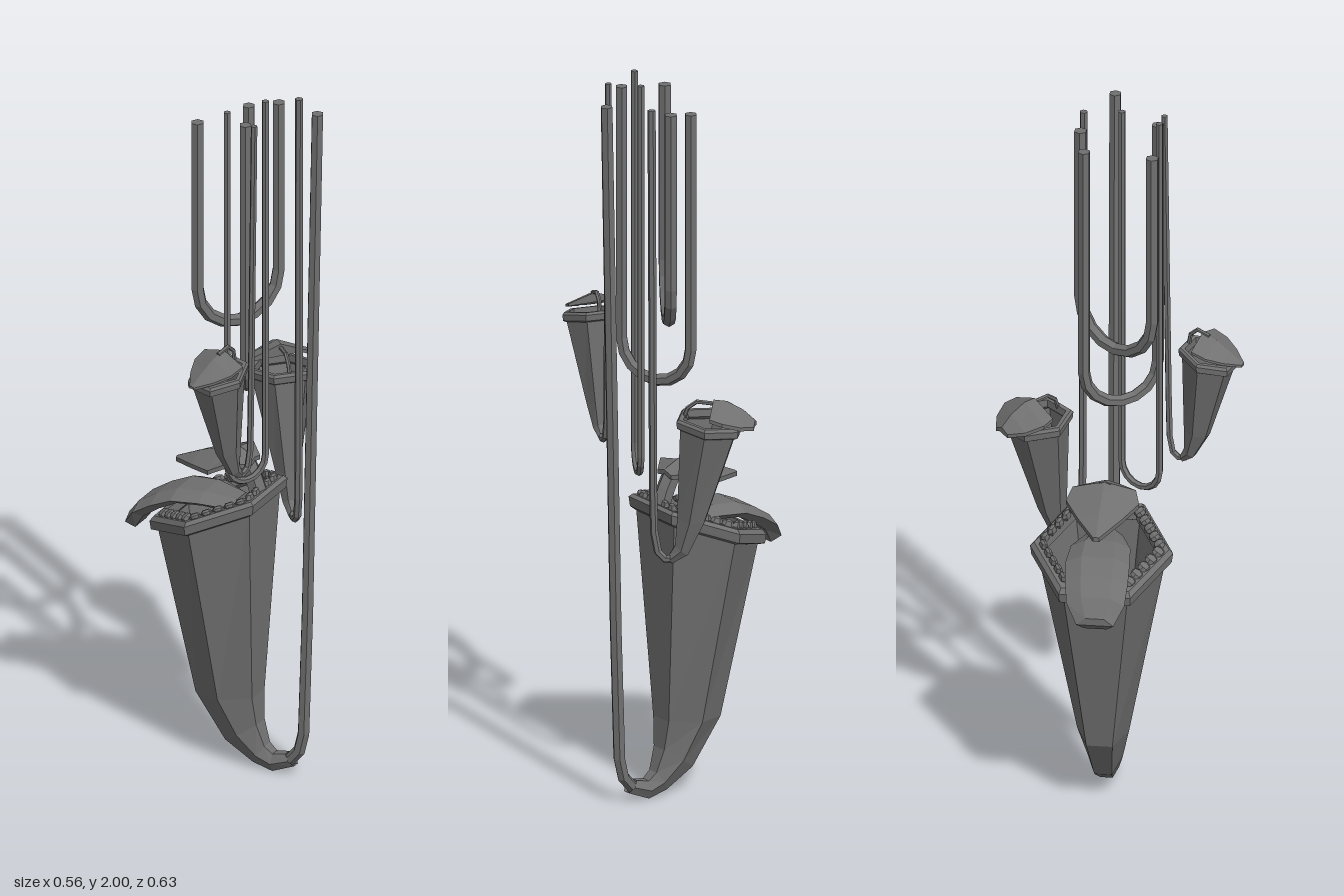
import * as THREE from 'three';

const material = new THREE.MeshStandardMaterial({ color: 0x707070, flatShading: true, side: THREE.DoubleSide });
const V = (x, y, z) => new THREE.Vector3(x, y, z);

// Skin a series of closed rings, optionally capping both ends
function loft(name, rings, caps = false) {
  const pos = [];
  const tri = (a, b, c) => [a, b, c].forEach(p => pos.push(p.x, p.y, p.z));
  for (let i = 0; i < rings.length - 1; i++) {
    const a = rings[i], b = rings[i + 1], n = a.length;
    for (let j = 0; j < n; j++) {
      const k = (j + 1) % n;
      tri(a[j], a[k], b[k]);
      tri(a[j], b[k], b[j]);
    }
  }
  if (caps) {
    const first = rings[0], last = rings[rings.length - 1];
    for (let j = 1; j < first.length - 1; j++) {
      tri(first[0], first[j + 1], first[j]);
      tri(last[0], last[j], last[j + 1]);
    }
  }
  const geo = new THREE.BufferGeometry();
  geo.setAttribute('position', new THREE.Float32BufferAttribute(pos, 3));
  geo.computeVertexNormals();
  const mesh = new THREE.Mesh(geo, material);
  mesh.name = name;
  return mesh;
}

// Six-sided ring, flat sides towards +x and -x, tilted by t in the x-y plane
function hexRing([u, y, ru, rw, t]) {
  return Array.from({ length: 6 }, (_, k) => {
    const a = Math.PI / 6 + k * Math.PI / 3;
    const c = ru * Math.cos(a) / Math.cos(Math.PI / 6);
    return V(u + c * Math.cos(t), y + c * Math.sin(t), rw * Math.sin(a));
  });
}

// Six-sided tube along [x, y] points
function tube(name, pts, r) {
  const rings = pts.map(([x, y], i) => {
    const p = pts[Math.max(i - 1, 0)], q = pts[Math.min(i + 1, pts.length - 1)];
    const d = new THREE.Vector2(q[0] - p[0], q[1] - p[1]).normalize();
    return Array.from({ length: 6 }, (_, k) => {
      const a = k * Math.PI / 3, c = r * Math.cos(a);
      return V(x - d.y * c, y + d.x * c, r * Math.sin(a));
    });
  });
  return loft(name, rings, true);
}

// Thin domed leaf from rows of [x, y, halfWidth, edgeDrop]
function lid(rows, thick) {
  const rings = rows.map(([u, y, w, drop]) => [
    V(u, y - drop, -w), V(u, y, 0), V(u, y - drop, w),
    V(u, y - drop - thick, w), V(u, y - thick, 0), V(u, y - drop - thick, -w),
  ]);
  return loft('lid', rings, true);
}

// Pitcher: body, rolled rim, stem, lid and lid stalk; the stem lies towards local +x
function pitcher(name, o) {
  const g = new THREE.Group();
  g.name = name;
  const [u, y, ru, rw, t] = o.rings[0];
  const ring = (dy, grow) => hexRing([u, y + dy, ru + grow, rw + grow, t]);
  const h = o.rimHeight, w = o.rimWidth;
  g.add(loft('body', o.rings.map(hexRing)));
  g.add(loft('rim', [ring(-h, 0), ring(-h * 0.7, w * 0.8), ring(h * 0.5, w), ring(h, w * 0.4),
    ring(h, -w * 0.8), ring(-h * 0.3, -w), ring(-h, 0)]));
  g.add(tube('stem', o.stem, o.stemRadius));
  g.add(lid(o.lid, o.lidThick));
  g.add(tube('lidStalk', o.stalk, o.stalkRadius));
  g.position.set(o.at[0], 0, o.at[1]);
  g.rotation.y = o.turn;
  return g;
}

// Hanging vine loop between two [x, topY, z] ends
function vineLoop(a, b, bottom, r) {
  const dx = b[0] - a[0], dz = b[2] - a[2], R = Math.hypot(dx, dz) / 2;
  const pts = [[-R, a[1]]];
  for (let i = 0; i <= 8; i++) {
    const s = Math.PI * i / 8;
    pts.push([-R * Math.cos(s), bottom + r + R * (1 - Math.sin(s))]);
  }
  pts.push([R, b[1]]);
  const m = tube('vineLoop', pts, r);
  m.position.set((a[0] + b[0]) / 2, 0, (a[2] + b[2]) / 2);
  m.rotation.y = Math.atan2(-dz, dx);
  return m;
}

export function createModel() {
  const root = new THREE.Group();
  root.name = 'hangingPitcherPlant';

  // Large pitcher
  const rim = [0, 0.752, 0.15, 0.174, 0.36];
  const big = pitcher('largePitcher', {
    at: [-0.03, -0.024], turn: 0.2,
    rings: [rim, [0.035, 0.205, 0.086, 0.07, 0.1], [0.08, 0.1, 0.057, 0.047, 0.6],
      [0.13, 0.044, 0.032, 0.032, 1.0], [0.17, 0.027, 0.025, 0.027, 1.57], [0.222, 0.045, 0.02, 0.021, 2.3]],
    rimHeight: 0.022, rimWidth: 0.018,
    stem: [[0.17, 0.025], [0.215, 0.04], [0.245, 0.075], [0.258, 0.13], [0.27, 0.5], [0.3, 1.98]],
    stemRadius: 0.017,
    lid: [[0.11, 0.915, 0.03, 0.008], [0.06, 0.935, 0.085, 0.02], [0.02, 0.925, 0.098, 0.03],
      [-0.05, 0.9, 0.06, 0.018], [-0.125, 0.865, 0.008, 0.002]],
    lidThick: 0.012,
    stalk: [[0.13, 0.79], [0.105, 0.86], [0.085, 0.9], [0.05, 0.915]], stalkRadius: 0.026,
  });

  // Broad lip curling out over the front of the rim: [x, y, halfWidth]
  const lipRows = [[0.07, 0.79, 0.05], [-0.02, 0.8, 0.08], [-0.1, 0.792, 0.086],
    [-0.16, 0.765, 0.084], [-0.215, 0.73, 0.078], [-0.25, 0.685, 0.05]];
  big.add(loft('curledLip', lipRows.map(([u, y, w]) => {
    const out = Math.max(0, -u - 0.08), lean = out * 0.12, side = out * 0.07;
    return [V(u, y - 0.02, side - w), V(u, y, side - w * 0.5), V(u, y, side + w * 0.5), V(u, y - 0.02, side + w),
      V(u + lean, y - 0.04, side + w * 0.6), V(u + lean, y - 0.04, side - w * 0.6)];
  }), true));

  // Beads along the rim, leaving out the side under the lip
  const beadGeo = new THREE.SphereGeometry(1, 6, 4);
  const edge = hexRing([rim[0], rim[1] + 0.025, rim[2] - 0.012, rim[3] - 0.012, rim[4]]);
  for (let k = 0; k < 6; k++) {
    if (k === 2) continue;
    const a = edge[k], b = edge[(k + 1) % 6];
    const dir = b.clone().sub(a).normalize();
    for (let i = 0; i < 5; i++) {
      const bead = new THREE.Mesh(beadGeo, material);
      bead.name = 'rimBead';
      bead.position.lerpVectors(a, b, (i + 0.5) / 5);
      bead.quaternion.setFromUnitVectors(V(1, 0, 0), dir);
      bead.scale.set(0.018, 0.017, 0.011);
      big.add(bead);
    }
  }
  root.add(big);

  // Small pitcher at the back
  root.add(pitcher('backPitcher', {
    at: [0.025, -0.222], turn: -0.58,
    rings: [[0, 1.092, 0.074, 0.087, 0.12], [0.05, 0.82, 0.036, 0.035, 0.15],
      [0.075, 0.735, 0.021, 0.021, 0.6], [0.105, 0.708, 0.014, 0.014, 1.4]],
    rimHeight: 0.015, rimWidth: 0.01,
    stem: [[0.095, 0.708], [0.12, 0.705], [0.14, 0.725], [0.15, 0.78], [0.153, 0.9], [0.157, 1.97]],
    stemRadius: 0.011,
    lid: [[-0.01, 1.162, 0.078, 0.03], [-0.045, 1.16, 0.085, 0.036], [-0.09, 1.138, 0.062, 0.03], [-0.122, 1.11, 0.025, 0.012]],
    lidThick: 0.01,
    stalk: [[0.072, 1.1], [0.06, 1.135], [0.035, 1.154], [-0.02, 1.15]], stalkRadius: 0.006,
  }));

  // Small pitcher at the front
  root.add(pitcher('frontPitcher', {
    at: [0.168, 0.213], turn: 1.46,
    rings: [[0, 1.285, 0.065, 0.076, 0.24], [0.037, 1.05, 0.032, 0.03, 0.2],
      [0.058, 0.985, 0.017, 0.018, 0.7], [0.08, 0.964, 0.011, 0.011, 1.4]],
    rimHeight: 0.014, rimWidth: 0.009,
    stem: [[0.07, 0.965], [0.09, 0.961], [0.108, 0.975], [0.117, 1.02], [0.12, 1.15], [0.132, 1.98]],
    stemRadius: 0.009,
    lid: [[0.02, 1.353, 0.074, 0.024], [-0.02, 1.338, 0.07, 0.024], [-0.06, 1.312, 0.045, 0.014], [-0.098, 1.285, 0.008, 0.002]],
    lidThick: 0.007,
    stalk: [[0.062, 1.3], [0.055, 1.34], [0.035, 1.358], [0.0, 1.346]], stalkRadius: 0.006,
  }));

  // Hanging vine loops
  root.add(vineLoop([0.095, 1.945, -0.125], [0.006, 1.945, 0.106], 1.31, 0.018));
  root.add(vineLoop([0.02, 1.925, -0.09], [0.147, 1.97, 0.075], 1.14, 0.017));
  root.add(vineLoop([0.1, 2.0, 0.095], [0.135, 2.0, -0.022], 0.88, 0.01));
  return root;
}
